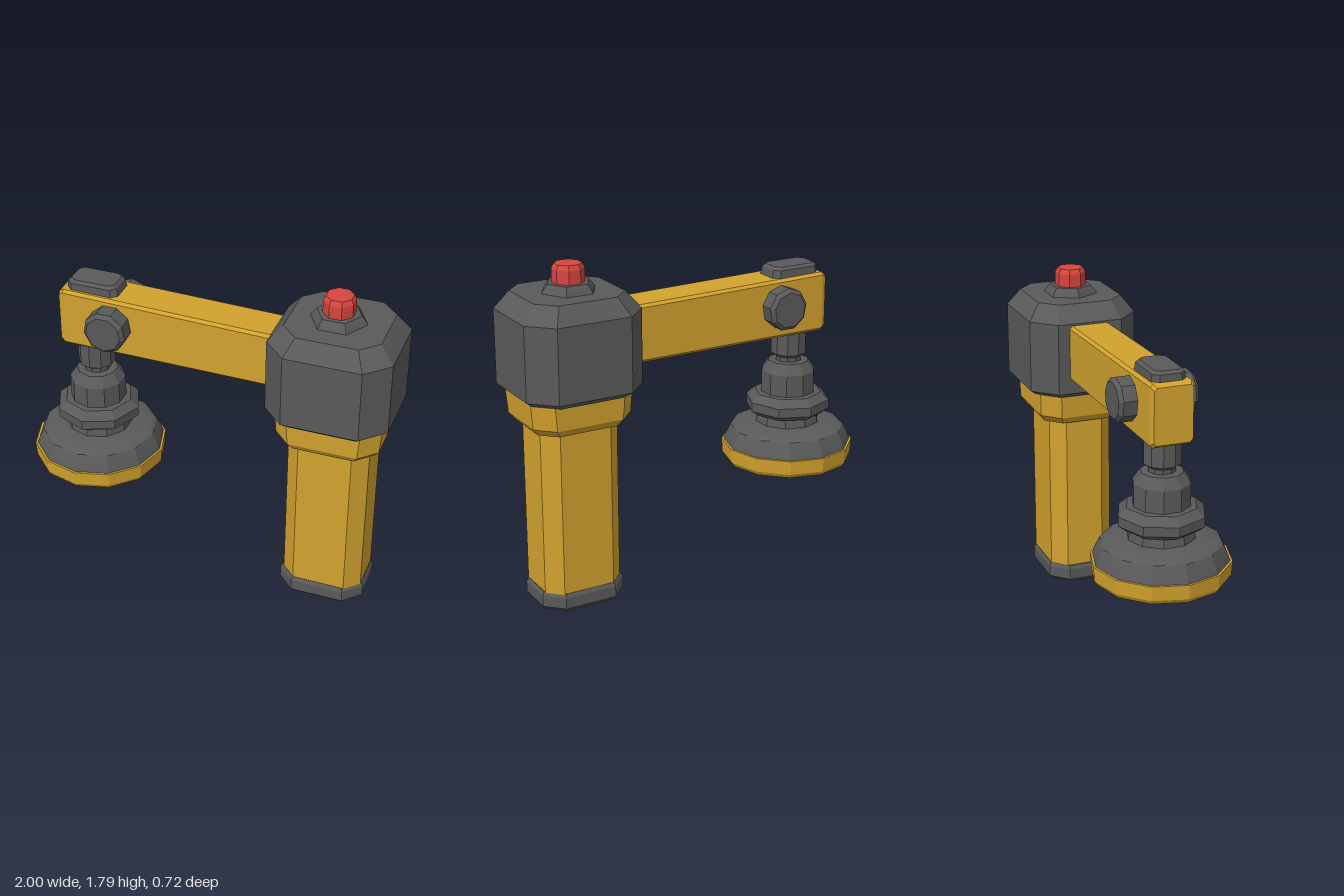
import * as THREE from 'three';
import { toCreasedNormals } from 'three/addons/utils/BufferGeometryUtils.js';

const yellow = new THREE.MeshStandardMaterial({ name: 'yellow paint', color: 0xd2a22e });
const grey = new THREE.MeshStandardMaterial({ name: 'dark grey', color: 0x5a5a5a });
const red = new THREE.MeshStandardMaterial({ name: 'red', color: 0xd6453f });

// Capped loft through chamfered rectangles: each section is [y, x0, x1, z0, z1, chamfer]
function loft(sections) {
  const pos = [], idx = [], n = 8;
  for (const [y, x0, x1, z0, z1, c] of sections) {
    const ring = [
      [x0 + c, z1], [x1 - c, z1], [x1, z1 - c], [x1, z0 + c],
      [x1 - c, z0], [x0 + c, z0], [x0, z0 + c], [x0, z1 - c],
    ];
    for (const [x, z] of ring) pos.push(x, y, z);
  }
  const top = (sections.length - 1) * n;
  for (let s = 0; s < top; s += n) {
    for (let i = 0; i < n; i++) {
      const a = s + i, b = s + (i + 1) % n;
      idx.push(a, b, b + n, a, b + n, a + n);
    }
  }
  for (let i = 1; i < n - 1; i++) {
    idx.push(0, i + 1, i, top, top + i, top + i + 1);
  }
  const g = new THREE.BufferGeometry();
  g.setAttribute('position', new THREE.Float32BufferAttribute(pos, 3));
  g.setIndex(idx);
  return toCreasedNormals(g, 0.3);
}

// Turned part from [radius, y] pairs, bottom to top
function turned(profile, sides, start = 0, crease = 0.4) {
  const pts = profile.map(([r, y]) => new THREE.Vector2(r, y));
  return toCreasedNormals(new THREE.LatheGeometry(pts, sides, start), crease);
}

export function createModel() {
  const model = new THREE.Group();
  model.name = 'machine';
  const add = (name, geometry, material, x = 0, y = 0, z = 0) => {
    const mesh = new THREE.Mesh(geometry, material);
    mesh.name = name;
    mesh.position.set(x, y, z);
    model.add(mesh);
    return mesh;
  };

  // Upright handle: foot, column and collar
  add('foot', loft([
    [0, 0.47, 0.885, -0.165, 0.165, 0.08],
    [0.025, 0.445, 0.91, -0.19, 0.19, 0.09],
    [0.085, 0.445, 0.91, -0.19, 0.19, 0.09],
    [0.105, 0.455, 0.9, -0.18, 0.18, 0.085],
  ]), grey);
  add('column', loft([
    [0.1, 0.465, 0.897, -0.178, 0.178, 0.075],
    [1.02, 0.465, 0.897, -0.178, 0.178, 0.075],
  ]), yellow);
  add('collar', loft([
    [0.98, 0.44, 0.92, -0.21, 0.21, 0.08],
    [1.02, 0.41, 0.953, -0.238, 0.238, 0.09],
    [1.16, 0.4, 0.965, -0.242, 0.242, 0.09],
  ]), yellow);

  // Motor head with bevelled top
  add('head', loft([
    [1.145, 0.4, 0.96, -0.265, 0.265, 0.11],
    [1.175, 0.357, 0.998, -0.3, 0.3, 0.12],
    [1.565, 0.357, 0.998, -0.3, 0.3, 0.12],
    [1.655, 0.43, 0.925, -0.235, 0.235, 0.09],
  ]), grey);

  // Push button on a hexagonal base
  add('buttonBase', turned([[0, 1.64], [0.15, 1.64], [0.145, 1.66], [0.115, 1.7], [0, 1.7]], 6, Math.PI / 6), grey, 0.67);
  add('button', turned([[0, 1.69], [0.083, 1.69], [0.083, 1.77], [0.07, 1.795], [0, 1.795]], 8, Math.PI / 8), red, 0.67);

  // Arm, lofted upright then laid along x towards the lamp-side end
  const arm = add('arm', loft([
    [-0.42, 1.25, 1.553, -0.115, 0.112, 0.015],
    [0.775, 1.258, 1.58, -0.12, 0.105, 0.015],
    [0.8, 1.275, 1.565, -0.108, 0.095, 0.015],
  ]), yellow);
  arm.rotation.z = Math.PI / 2;

  // Cap plate on top of the arm
  add('armCap', loft([
    [1.56, -0.77, -0.485, -0.1, 0.08, 0.03],
    [1.615, -0.765, -0.495, -0.095, 0.075, 0.03],
    [1.63, -0.75, -0.51, -0.08, 0.06, 0.025],
  ]), grey);

  // Pivot knob on each side of the arm
  for (const side of [1, -1]) {
    const knob = add(side > 0 ? 'frontKnob' : 'backKnob',
      turned([[0, 0], [0.115, 0], [0.115, 0.11], [0.095, 0.13], [0, 0.13]], 9),
      grey, -0.51, 1.43, side * 0.08);
    knob.rotation.x = side * Math.PI / 2;
  }

  // Hanging stem, body, flange and pad
  const cx = -0.645;
  add('stem', turned([[0, 1.06], [0.07, 1.06], [0.07, 1.11], [0.098, 1.13], [0.098, 1.28], [0, 1.28]], 10), grey, cx);
  add('body', turned([[0, 0.88], [0.15, 0.88], [0.148, 1.03], [0.11, 1.085], [0, 1.09]], 10), grey, cx);
  add('flange', turned([[0, 0.79], [0.19, 0.79], [0.23, 0.82], [0.23, 0.87], [0.185, 0.91], [0, 0.92]], 8), grey, cx);
  add('lowerNeck', turned([[0, 0.7], [0.18, 0.7], [0.175, 0.75], [0.165, 0.8], [0, 0.8]], 10), grey, cx);
  add('padHolder', turned([[0, 0.615], [0.35, 0.615], [0.335, 0.66], [0.31, 0.71], [0.29, 0.722], [0.18, 0.74], [0, 0.74]], 12), grey, cx);
  add('pad', turned([[0, 0.522], [0.34, 0.522], [0.355, 0.545], [0.36, 0.622], [0, 0.622]], 12), yellow, cx);

  return model;
}
